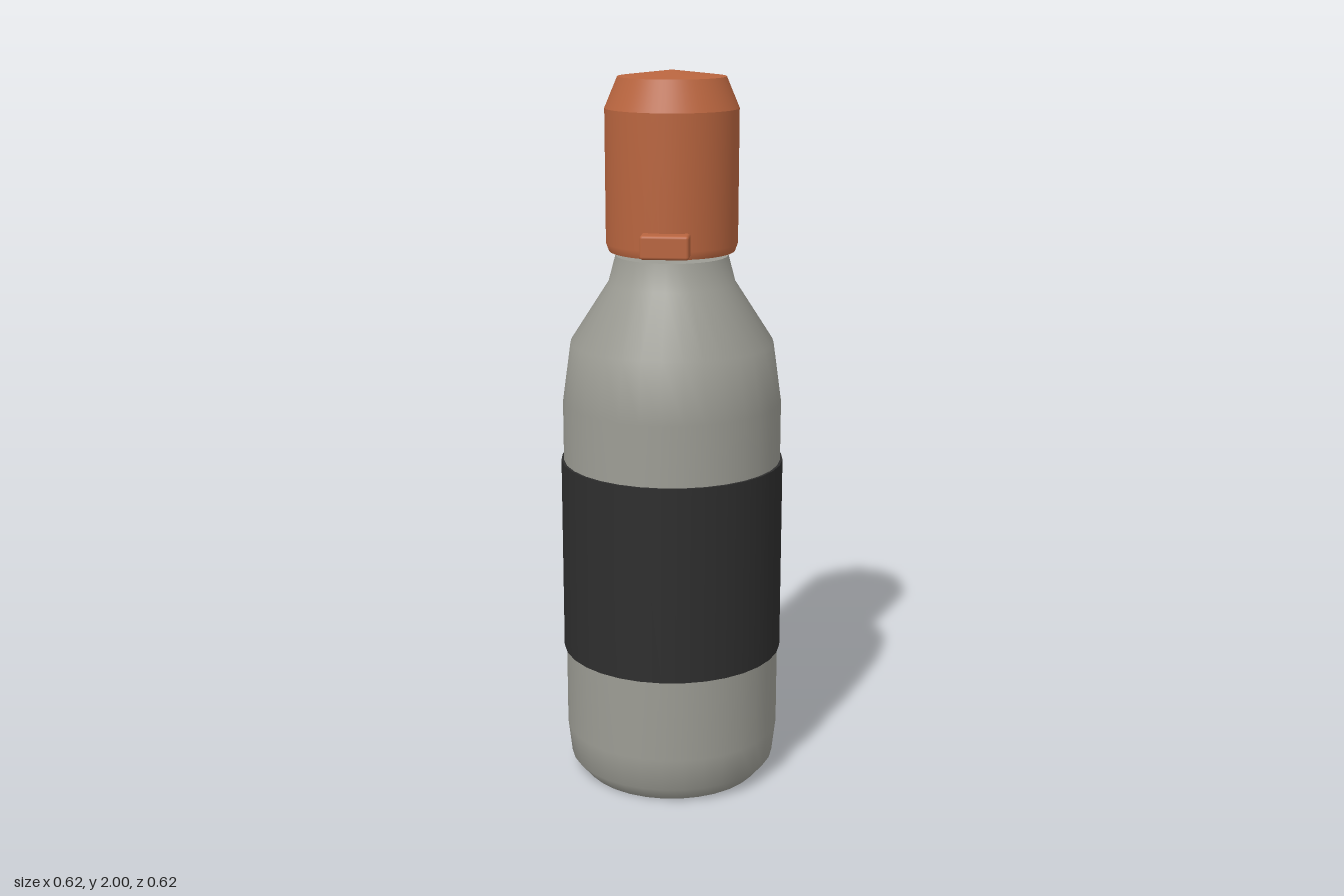
import * as THREE from 'three';
import { RoundedBoxGeometry } from 'three/addons/geometries/RoundedBoxGeometry.js';

const steel = new THREE.MeshStandardMaterial({ name: 'warm grey', color: 0x9c9c94 });
const orange = new THREE.MeshStandardMaterial({ name: 'burnt orange', color: 0xb9653f });
const black = new THREE.MeshStandardMaterial({ name: 'charcoal', color: 0x2e2e2e });

export function createModel() {
  const model = new THREE.Group();
  model.name = 'bottle';

  const add = (name, geometry, material, x = 0, y = 0, z = 0) => {
    const mesh = new THREE.Mesh(geometry, material);
    mesh.name = name;
    mesh.position.set(x, y, z);
    model.add(mesh);
    return mesh;
  };
  // Profile points are [radius, height]; a repeated point makes a sharp edge.
  const lathe = (points, sides) =>
    new THREE.LatheGeometry(points.map(([r, y]) => new THREE.Vector2(r, y)), sides);

  // Bottle with chamfered foot and sloping shoulder
  add('body', lathe([
    [0, 0], [0.255, 0], [0.255, 0], [0.293, 0.045], [0.304, 0.14],
    [0.304, 1.1], [0.281, 1.265], [0.175, 1.43], [0.155, 1.505],
    [0.155, 1.505], [0, 1.505],
  ], 32), steel);

  // Grip sleeve around the middle
  add('sleeve', lathe([
    [0.298, 0.375], [0.311, 0.375], [0.311, 0.375],
    [0.311, 0.93], [0.311, 0.93], [0.298, 0.93],
  ], 32), black);

  // Neck plug and cap
  add('neckPlug', new THREE.CylinderGeometry(0.095, 0.095, 0.04, 32), orange, 0, 1.515, 0);
  add('cap', lathe([
    [0, 1.518], [0.172, 1.518], [0.172, 1.518], [0.18, 1.54], [0.181, 1.9],
    [0.181, 1.9], [0.146, 1.983], [0.146, 1.983], [0, 2],
  ], 64), orange);

  // Front press tab and rear hinge tab
  add('frontTab', new RoundedBoxGeometry(0.13, 0.064, 0.06, 2, 0.008), orange, 0, 1.557, 0.191);
  add('hingeTab', new RoundedBoxGeometry(0.112, 0.036, 0.06, 2, 0.004), orange, 0, 1.572, -0.18);

  // Hooked hinge bracket: side profile (distance back, height) extruded across
  const hook = new THREE.Shape([
    [0.14, 1.495], [0.182, 1.495], [0.195, 1.508], [0.206, 1.556],
    [0.165, 1.556], [0.165, 1.515], [0.14, 1.515],
  ].map(([d, y]) => new THREE.Vector2(d, y)));
  const bracket = new THREE.ExtrudeGeometry(hook, { depth: 0.13, bevelEnabled: false });
  bracket.translate(0, 0, -0.065);
  bracket.rotateY(Math.PI / 2);
  add('hingeBracket', bracket, steel);

  return model;
}
